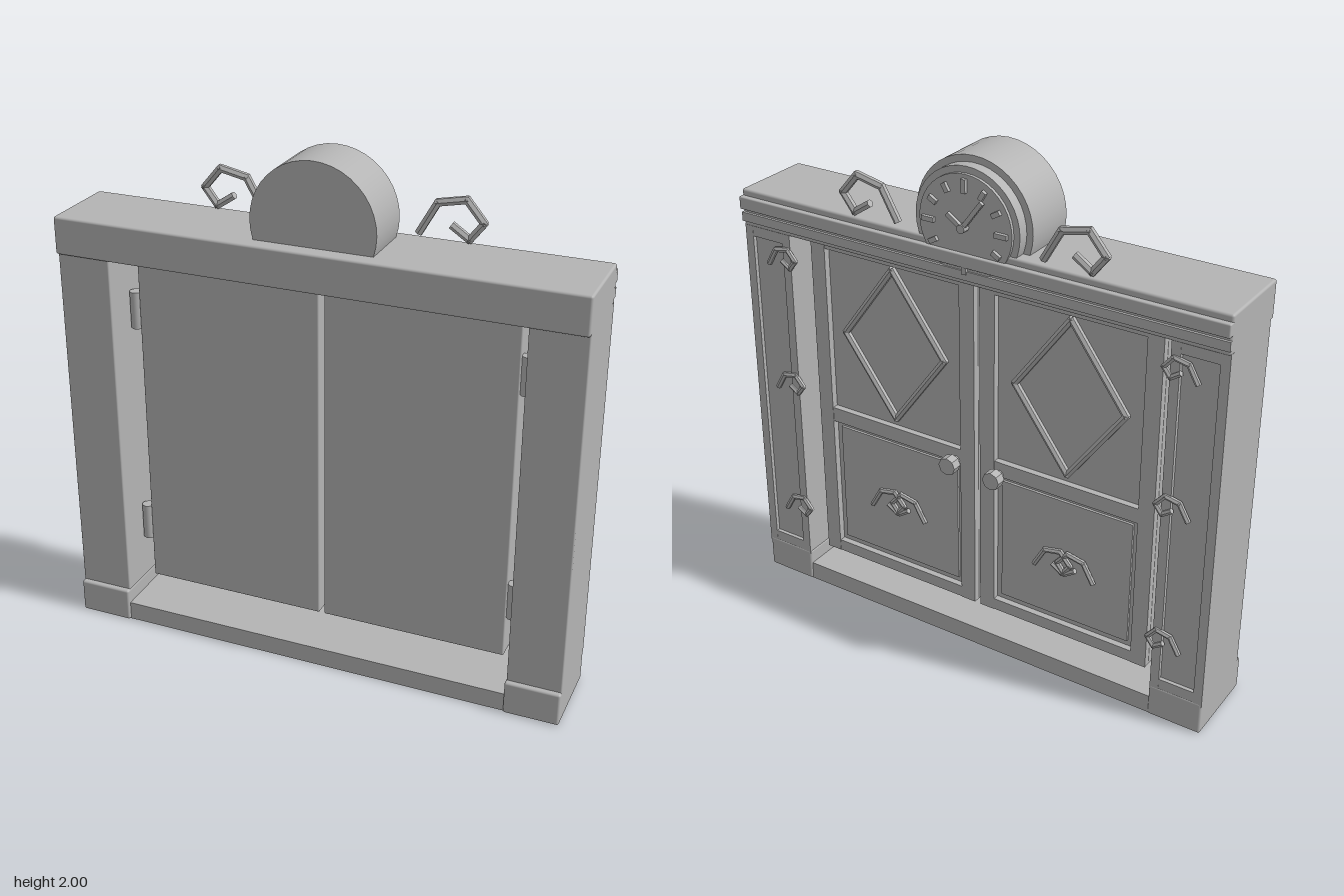
import * as THREE from 'three';
import { toCreasedNormals } from 'three/addons/utils/BufferGeometryUtils.js';
import { RoundedBoxGeometry } from 'three/addons/geometries/RoundedBoxGeometry.js';

export function createModel() {
  const model = new THREE.Group();
  const grey = new THREE.MeshStandardMaterial({ color: 0xb4b4b4 });
  grey.name = 'stone grey';

  function add(name, geo, parent = model) {
    const mesh = new THREE.Mesh(geo, grey);
    mesh.name = name;
    parent.add(mesh);
    return mesh;
  }

  // Box given by its limits on each axis, with an optional softened edge
  function box(name, [x0, x1], [y0, y1], [z0, z1], parent = model, r = 0) {
    const s = [Math.abs(x1 - x0), y1 - y0, z1 - z0];
    const geo = r ? new RoundedBoxGeometry(...s, 2, r) : new THREE.BoxGeometry(...s);
    const mesh = add(name, geo, parent);
    mesh.position.set((x0 + x1) / 2, (y0 + y1) / 2, (z0 + z1) / 2);
    return mesh;
  }

  // Disc or drum whose axis runs along z
  function disc(name, r, y, z0, z1, sides = 40) {
    const geo = new THREE.CylinderGeometry(r, r, z1 - z0, sides);
    geo.rotateX(Math.PI / 2);
    return add(name, geo).translateY(y).translateZ((z0 + z1) / 2);
  }

  // Six-sided rods along a path of points
  function rods(name, points, r, parent, closed = false) {
    const group = new THREE.Group();
    group.name = name;
    const n = points.length;
    for (let i = 0; i < (closed ? n : n - 1); i++) {
      const a = new THREE.Vector3(...points[i], 0);
      const b = new THREE.Vector3(...points[(i + 1) % n], 0);
      const dir = b.clone().sub(a);
      const geo = new THREE.CylinderGeometry(r, r, dir.length() + r * 0.8, 6);
      const mesh = add('rod', toCreasedNormals(geo, 0.5), group);
      mesh.position.copy(a).add(b).multiplyScalar(0.5);
      mesh.quaternion.setFromUnitVectors(new THREE.Vector3(0, 1, 0), dir.normalize());
    }
    parent.add(group);
    return group;
  }

  // Angular scroll: leg at the origin, curling towards side * x
  const curl = [[0, 0], [0.065, 0.115], [0.17, 0.137], [0.235, 0.06], [0.185, -0.005], [0.122, 0.037]];
  function scroll(name, x, y, z, side, scale, parent = model) {
    const points = curl.map(([px, py]) => [px * side * scale, py * scale]);
    rods(name, points, 0.015 * Math.max(scale, 0.7), parent).position.set(x, y, z);
  }

  // Lintel, cornice strips and threshold
  box('lintel', [-1, 1], [1.545, 1.69], [-0.15, 0.18], model, 0.009);
  box('upperCornice', [-1, 1], [1.615, 1.665], [-0.17, -0.14], model, 0.005);
  box('lowerCornice', [-1, 1], [1.565, 1.6], [-0.16, -0.14]);
  box('threshold', [-0.8, 0.8], [0, 0.075], [-0.14, 0.17]);

  for (const s of [-1, 1]) {
    // Post with plinth and raised panel border
    const post = new THREE.Group();
    post.name = s > 0 ? 'leftPost' : 'rightPost';
    model.add(post);
    box('postBody', [s * 0.79, s], [0.05, 1.56], [-0.13, 0.162], post, 0.006);
    box('plinth', [s * 0.787, s], [0, 0.135], [-0.147, 0.182], post, 0.009);
    for (const x of [0.79, 0.965])
      box('postBorder', [s * x, s * (x + 0.035)], [0.12, 1.55], [-0.146, -0.12], post);
    for (const y of [0.13, 1.505])
      box('postRail', [s * 0.82, s * 0.97], [y, y + 0.045], [-0.145, -0.12], post);
    for (const y of [0.32, 0.885, 1.415])
      scroll('postScroll', s * 0.893, y, -0.147, -s, 0.53, post);

    // Door leaf with its framing
    const door = new THREE.Group();
    door.name = s > 0 ? 'leftDoor' : 'rightDoor';
    model.add(door);
    box('doorSlab', [s * 0.01, s * 0.74], [0.15, 1.56], [-0.06, 0.042], door, 0.006);
    for (const x of [0.012, 0.675])
      box('doorStile', [s * x, s * (x + 0.063)], [0.152, 1.555], [-0.087, -0.05], door);
    for (const [y0, y1] of [[0.152, 0.2], [0.765, 0.825], [1.5, 1.555]])
      box('doorRail', [s * 0.07, s * 0.68], [y0, y1], [-0.085, -0.05], door);
    box('lowerPanel', [s * 0.1, s * 0.65], [0.225, 0.74], [-0.07, -0.05], door);

    // Diamond moulding and paired scrolls
    const diamond = [[0, 0.31], [0.225, 0], [0, -0.31], [-0.225, 0]];
    rods('diamondMoulding', diamond, 0.014, door, true).position.set(s * 0.377, 1.17, -0.07);
    for (const t of [-1, 1])
      scroll('doorScroll', s * 0.377 + t * 0.125, 0.435, -0.08, -t, 0.65, door);

    // Door knob
    for (const [r, len, z] of [[0.018, 0.05, -0.1], [0.036, 0.04, -0.128]]) {
      const geo = new THREE.CylinderGeometry(r, r, len, 8);
      geo.rotateX(Math.PI / 2);
      add('doorKnob', toCreasedNormals(geo, 0.5), door).position.set(s * 0.097, 0.775, z);
    }

    // Hinges
    for (const y of [0.392, 1.307])
      add('hinge', new THREE.CylinderGeometry(0.024, 0.024, 0.147, 12), door).position.set(s * 0.762, y, 0.025);

    // Scroll on top of the lintel
    scroll('topScroll', s * 0.3, 1.71, -0.132, s, 1);
  }

  // Clock drum, rim and dial
  const cy = 1.763;
  disc('clockDrum', 0.237, cy, -0.1, 0.12);
  disc('clockRim', 0.212, cy, -0.143, -0.09);
  disc('clockDial', 0.188, cy, -0.155, -0.13);
  disc('clockPin', 0.016, cy, -0.185, -0.15, 12);

  // Hour marks
  for (let i = 0; i < 12; i++) {
    const a = (i * Math.PI) / 6;
    const len = i % 3 ? 0.035 : 0.05;
    const mark = add('hourMark', new THREE.BoxGeometry(0.018, len, 0.02));
    mark.position.set(Math.sin(a) * 0.148, cy + Math.cos(a) * 0.148, -0.158);
    mark.rotation.z = -a;
  }

  // Clock hands
  for (const [name, dx, dy] of [['minuteHand', -0.08, 0.108], ['hourHand', 0.06, 0.042]]) {
    const hand = add(name, new THREE.BoxGeometry(0.016, Math.hypot(dx, dy), 0.014));
    hand.position.set(dx / 2, cy + dy / 2, -0.173);
    hand.rotation.z = Math.atan2(-dx, dy);
  }

  return model;
}
